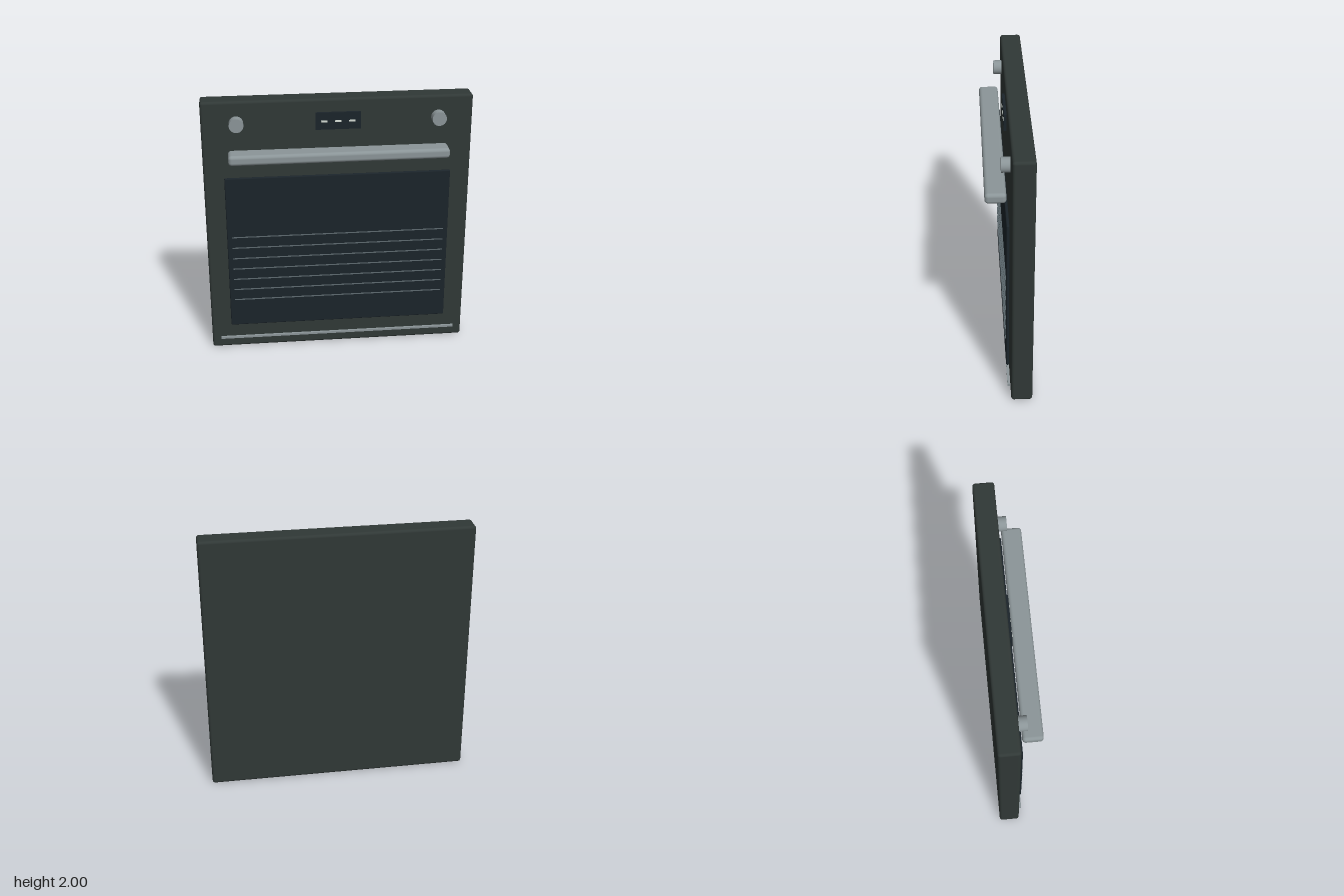
import * as THREE from 'three';
import { RoundedBoxGeometry } from 'three/addons/geometries/RoundedBoxGeometry.js';

export function createModel() {
  const group = new THREE.Group();
  const mat = (color) => new THREE.MeshStandardMaterial({ color });
  const enamel = mat(0x303836);
  const glass = mat(0x1b242a);
  const steel = mat(0x8b9598);
  const wire = mat(0x59656a);
  const lit = mat(0xd5ddd5);

  const add = (name, geometry, material, x, y, z) => {
    const mesh = new THREE.Mesh(geometry, material);
    mesh.name = name;
    mesh.position.set(x, y, z);
    group.add(mesh);
    return mesh;
  };
  // Box given by its size, centre height and back/front depth; rounded when r > 0
  const slab = (name, material, x, y, w, h, z0, z1, r = 0) => {
    const d = z1 - z0;
    const geometry = r ? new RoundedBoxGeometry(w, h, d, 4, r) : new THREE.BoxGeometry(w, h, d);
    return add(name, geometry, material, x, y, (z0 + z1) / 2);
  };

  // Door panel and window
  slab('frontPanel', enamel, 0, 1, 1.964, 2, -0.163, -0.01, 0.02);
  slab('window', glass, 0, 0.817, 1.664, 1.222, 0, 0.021, 0.008);

  // Rack lines across the window
  for (let i = 0; i < 7; i++) {
    slab('rackLine', wire, 0, 0.43 + i * 0.0875, 1.59, 0.006, 0.02, 0.028);
  }

  // Handle bar
  slab('handle', steel, 0, 1.613, 1.592, 0.076, 0.018, 0.163, 0.025);

  // Control knobs
  for (const side of [-1, 1]) {
    const geometry = new THREE.CylinderGeometry(0.052, 0.052, 0.062, 40).rotateX(Math.PI / 2);
    add('knob', geometry, steel, side * 0.73, 1.84, 0.022);
  }

  // Display with three lit dashes
  slab('display', glass, 0, 1.839, 0.326, 0.126, -0.01, 0.01);
  for (const x of [-0.1, 0, 0.1]) {
    slab('displayDash', lit, x, 1.838, 0.045, 0.012, 0.008, 0.014);
  }

  // Trim strip along the bottom
  slab('bottomTrim', steel, 0, 0.09, 1.83, 0.016, -0.002, 0.015);

  return group;
}
